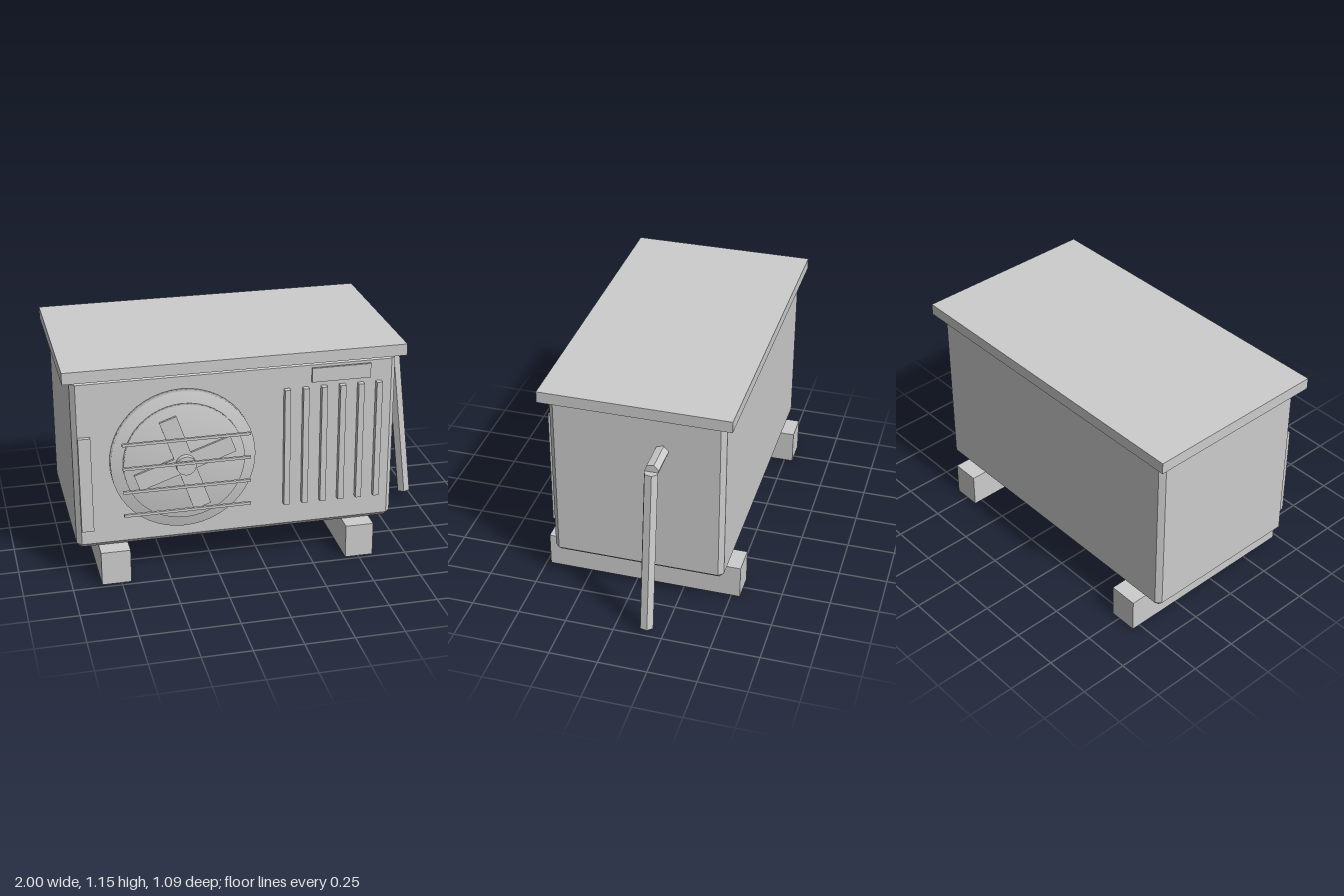
import * as THREE from 'three';
import { mergeVertices } from 'three/addons/utils/BufferGeometryUtils.js';
import { ConvexGeometry } from 'three/addons/geometries/ConvexGeometry.js';

const FAN_X = -0.415, FAN_Y = 0.64;

export function createModel() {
  const model = new THREE.Group();
  model.name = 'outdoorCoolingUnit';
  const grey = new THREE.MeshStandardMaterial({ color: 0xcccccc });
  grey.name = 'plain grey';

  const add = (name, geometry, parent = model) => {
    const mesh = new THREE.Mesh(geometry, grey);
    mesh.name = name;
    parent.add(mesh);
    return mesh;
  };
  // Box given by its extents on each axis
  const box = (name, [x0, x1], [y0, y1], [z0, z1], parent) => {
    const mesh = add(name, new THREE.BoxGeometry(x1 - x0, y1 - y0, z1 - z0), parent);
    mesh.position.set((x0 + x1) / 2, (y0 + y1) / 2, (z0 + z1) / 2);
    return mesh;
  };
  const group = (name) => {
    const g = new THREE.Group();
    g.name = name;
    model.add(g);
    return g;
  };

  // Casing: a box with every edge chamfered
  const half = [0.825, 0.4575, 0.445], bevel = 0.025, corners = [];
  for (const sx of [-1, 1]) for (const sy of [-1, 1]) for (const sz of [-1, 1]) {
    for (let axis = 0; axis < 3; axis++) {
      const p = [sx, sy, sz].map((s, i) => s * (half[i] - (i === axis ? 0 : bevel)));
      corners.push(new THREE.Vector3(...p));
    }
  }
  add('casing', new ConvexGeometry(corners)).position.set(-0.135, 0.6375, -0.035);

  // Overhanging lid and the two support rails
  box('lid', [-1, 0.73], [1.095, 1.155], [-0.52, 0.45]);
  box('rightFootRail', [-0.85, -0.70], [0, 0.18], [-0.545, 0.477]);
  box('leftFootRail', [0.43, 0.577], [0, 0.18], [-0.545, 0.477]);

  // Fan housing: stepped discs with normals smoothed over the rims
  const fan = group('fan');
  fan.position.set(FAN_X, FAN_Y, 0);
  const disc = (name, radius, z0, z1, sides, smoothRim) => {
    let geometry = new THREE.CylinderGeometry(radius, radius, z1 - z0, sides);
    if (smoothRim) {
      geometry.deleteAttribute('normal');
      geometry.deleteAttribute('uv');
      geometry = mergeVertices(geometry);
      geometry.computeVertexNormals();
    }
    geometry.rotateX(Math.PI / 2);
    add(name, geometry, fan).position.z = (z0 + z1) / 2;
  };
  disc('fanRing', 0.366, 0.39, 0.45, 48, true);
  disc('fanPlate', 0.305, 0.44, 0.477, 48, true);
  disc('fanHub', 0.05, 0.47, 0.526, 16, false);

  // Four flat blades
  for (let i = 0; i < 4; i++) {
    const geometry = new THREE.BoxGeometry(0.09, 0.257, 0.012);
    geometry.translate(0, 0.1285, 0);
    const blade = add('fanBlade', geometry, fan);
    blade.position.z = 0.49;
    blade.rotation.z = THREE.MathUtils.degToRad(19 + i * 90);
  }

  // Guard bars in front of the fan
  const guard = group('fanGuard');
  for (const y of [0.41, 0.537, 0.664, 0.792]) {
    box('guardBar', [-0.735, -0.095], [y - 0.007, y + 0.007], [0.535, 0.548], guard);
  }

  // Vent slats, name plate and side grip
  const vent = group('vent');
  for (let i = 0; i < 6; i++) {
    const x = 0.12 + i * 0.0955;
    box('ventSlat', [x - 0.015, x + 0.015], [0.323, 0.957], [0.4, 0.44], vent);
  }
  box('blankPlate', [0.245, 0.55], [0.985, 1.06], [0.42, 0.432]);
  box('sideGrip', [-0.935, -0.873], [0.285, 0.793], [0.4, 0.432]);

  // Six-sided pipe: short outlet and a slanted drop
  const pipe = group('pipe');
  const segment = (name, from, to) => {
    const a = new THREE.Vector3(...from), b = new THREE.Vector3(...to);
    const geometry = new THREE.CylinderGeometry(0.037, 0.037, a.distanceTo(b), 6).toNonIndexed();
    geometry.rotateY(0.2);
    geometry.computeVertexNormals();
    const mesh = add(name, geometry, pipe);
    mesh.position.copy(a).lerp(b, 0.5);
    mesh.quaternion.setFromUnitVectors(new THREE.Vector3(0, 1, 0), b.sub(a).normalize());
  };
  segment('pipeOutlet', [0.65, 0.897, -0.163], [0.858, 0.897, -0.163]);
  segment('pipeDrop', [0.866, 0.893, -0.163], [0.963, 0.029, -0.163]);

  return model;
}
